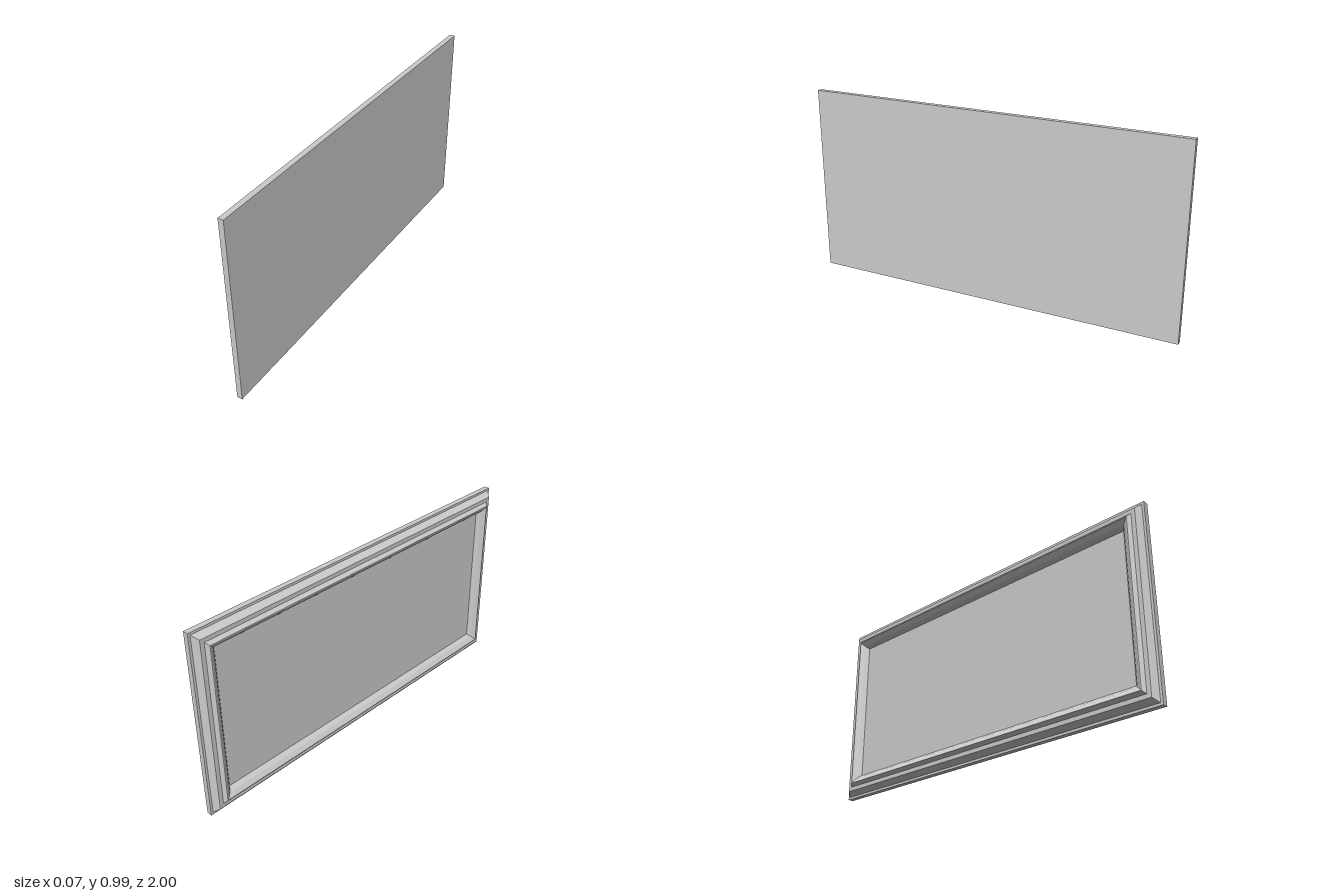
import * as THREE from 'three';

const HEIGHT = 0.99;
const LENGTH = 2;

// Moulding cross-section: [x, inset from the outer edge], from the back round to the panel
const PROFILE = [
  [0.036, 0], [0.008, 0], [0.008, 0.012], [-0.02, 0.034], [-0.02, 0.055],
  [-0.036, 0.07], [-0.036, 0.074], [-0.02, 0.097], [0, 0.113],
];

// Four corners of the rectangular ring at one profile point
function ring([x, inset]) {
  const z = LENGTH / 2 - inset;
  const y0 = inset, y1 = HEIGHT - inset;
  return [[x, y0, -z], [x, y0, z], [x, y1, z], [x, y1, -z]];
}

// Mitred strips between neighbouring rings, for one side of the frame
function railGeometry(side) {
  const positions = [];
  const next = (side + 1) % 4;
  for (let i = 0; i < PROFILE.length - 1; i++) {
    const a = ring(PROFILE[i]), b = ring(PROFILE[i + 1]);
    const quad = [a[side], b[side], b[next], a[side], b[next], a[next]];
    quad.forEach((p) => positions.push(...p));
  }
  const geometry = new THREE.BufferGeometry();
  geometry.setAttribute('position', new THREE.Float32BufferAttribute(positions, 3));
  geometry.computeVertexNormals();
  return geometry;
}

export function createModel() {
  const group = new THREE.Group();
  group.name = 'pictureFrame';
  const material = new THREE.MeshStandardMaterial({
    color: 0xcccccc, flatShading: true, side: THREE.DoubleSide,
  });

  // Moulded rails, mitred at the corners
  ['bottomRail', 'frontRail', 'topRail', 'backRail'].forEach((name, side) => {
    const rail = new THREE.Mesh(railGeometry(side), material);
    rail.name = name;
    group.add(rail);
  });

  // Recessed picture panel and flat backing
  const addSheet = (name, [x, inset], turn) => {
    const sheet = new THREE.Mesh(
      new THREE.PlaneGeometry(LENGTH - 2 * inset, HEIGHT - 2 * inset), material);
    sheet.rotation.y = turn;
    sheet.position.set(x, HEIGHT / 2, 0);
    sheet.name = name;
    group.add(sheet);
  };
  addSheet('picturePanel', PROFILE[PROFILE.length - 1], -Math.PI / 2);
  addSheet('backing', PROFILE[0], Math.PI / 2);

  return group;
}
